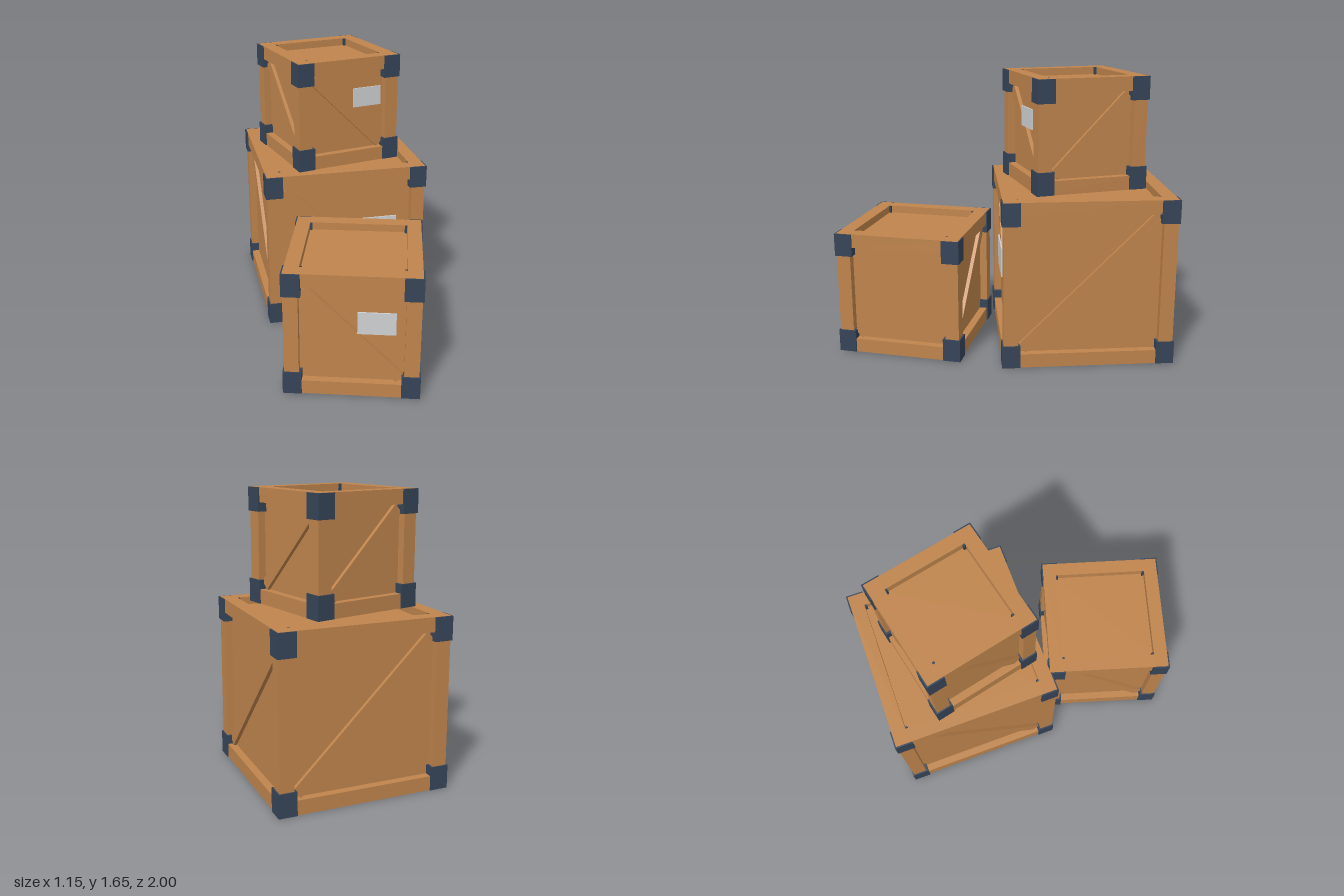
import * as THREE from 'three';

const wood = new THREE.MeshStandardMaterial({ name: 'wood', color: 0xbf844c });
const metal = new THREE.MeshStandardMaterial({ name: 'darkMetal', color: 0x364458 });
const paper = new THREE.MeshStandardMaterial({ name: 'labelGrey', color: 0xcfd1d3 });

const BEAM = 0.083;     // width of the frame timbers
const RECESS = 0.045;   // how far the panels sit behind the frame
const BRACE = 0.065;    // width of the diagonal braces
const CAP_W = 0.105;    // corner bracket width
const CAP_H = 0.135;    // corner bracket height
const LIP = 0.008;      // how far the brackets stand out

function addBox(parent, name, material, size, position) {
  const mesh = new THREE.Mesh(new THREE.BoxGeometry(...size), material);
  mesh.name = name;
  mesh.position.set(...position);
  parent.add(mesh);
  return mesh;
}

// One cube-shaped crate standing on its own y = 0
function makeCrate(name, size) {
  const crate = new THREE.Group();
  crate.name = name;
  const half = size / 2;
  const open = size - 2 * BEAM;
  const edge = half - BEAM / 2;

  // Recessed panels as one inner box
  const core = size - 2 * RECESS;
  addBox(crate, 'panels', wood, [core, core, core], [0, half, 0]);

  for (const a of [-1, 1]) {
    for (const b of [-1, 1]) {
      // Frame timbers
      addBox(crate, 'crossBeam', wood, [size, BEAM, BEAM], [0, half + a * edge, b * edge]);
      addBox(crate, 'sideBeam', wood, [BEAM, BEAM, open], [a * edge, half + b * edge, 0]);
      addBox(crate, 'post', wood, [BEAM, open, BEAM], [a * edge, half, b * edge]);
      // Corner brackets, a hair below the top and bottom timber faces
      const c = half + LIP - CAP_W / 2;
      for (const s of [-1, 1]) {
        addBox(crate, 'cornerBracket', metal, [CAP_W, CAP_H, CAP_W],
          [a * c, half + s * (half - 0.001 - CAP_H / 2), b * c]);
      }
    }
  }

  // Diagonal braces on the four upright faces
  const length = open * Math.SQRT2 - BRACE;
  const thick = 0.03;
  const out = half - RECESS + 0.022 - thick / 2;
  for (const s of [-1, 1]) {
    const front = addBox(crate, 'brace', wood, [length, BRACE, thick], [0, half, s * out]);
    front.rotation.z = -Math.PI / 4;
    const side = addBox(crate, 'brace', wood, [thick, BRACE, length], [s * out, half, 0]);
    side.rotation.x = Math.PI / 4;
  }

  // Shipping label on the front
  addBox(crate, 'label', paper, [size * 0.28, size * 0.177, 0.008],
    [size * 0.18, half + 0.09, half - 0.003]);
  return crate;
}

export function createModel() {
  const model = new THREE.Group();
  model.name = 'crateStack';
  // name, size, position, turn about y
  const crates = [
    ['largeCrate', 0.99, [0.003, 0, -0.428], 0.16],
    ['smallCrate', 0.66, [-0.021, 0.99, -0.383], 0.382],
    ['frontCrate', 0.742, [0.092, 0, 0.565], -0.14],
  ];
  for (const [name, size, position, turn] of crates) {
    const crate = makeCrate(name, size);
    crate.position.set(...position);
    crate.rotation.y = turn;
    model.add(crate);
  }
  return model;
}
